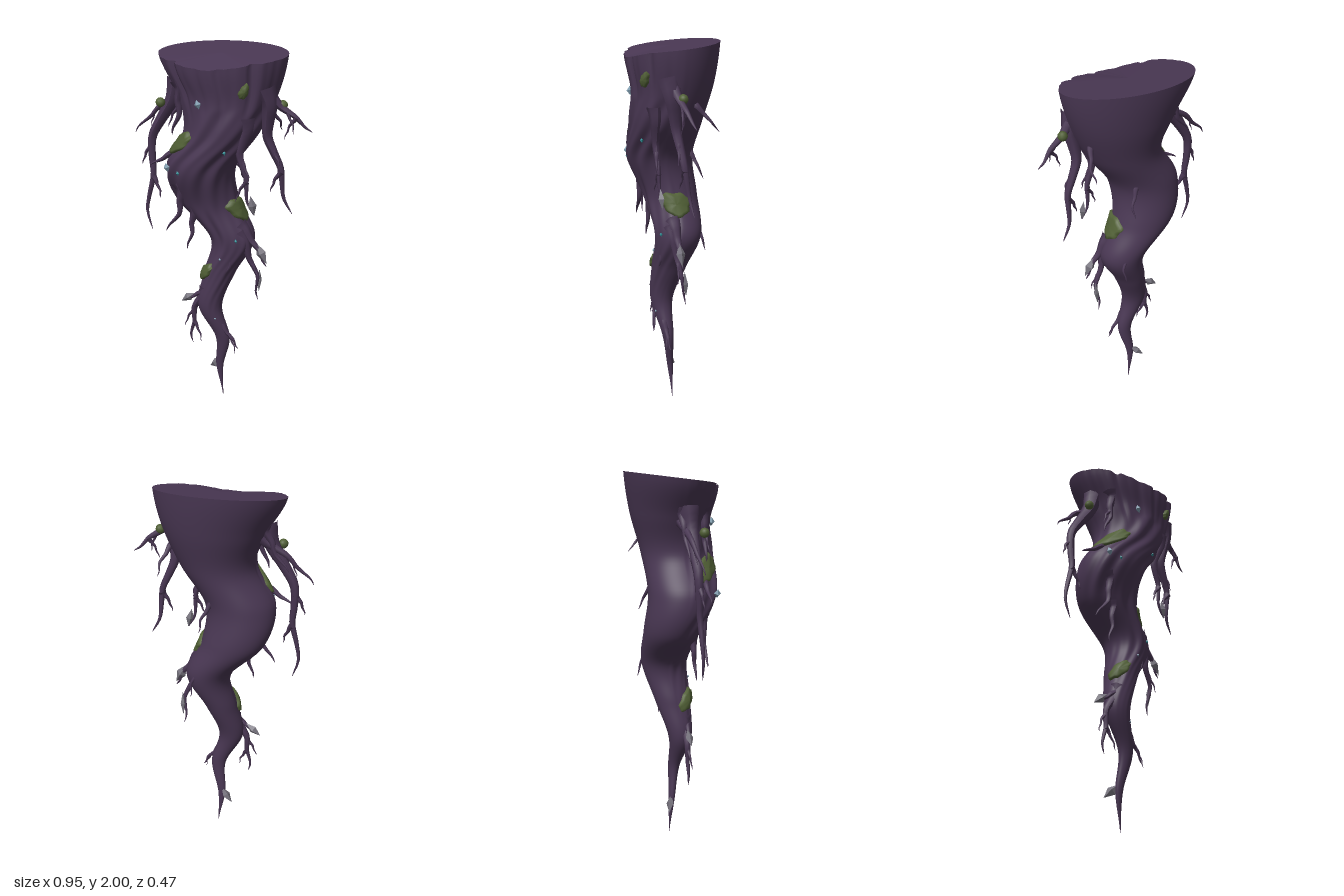
import * as THREE from 'three';

const V = (x, y, z) => new THREE.Vector3(x, y, z);

// Trunk outline every 0.2 in height: left x, right x, front z, back z
const OUTLINE = [
  [0, 0.002, -0.008, -0.012], [-0.036, 0.006, 0.016, -0.016], [-0.03, 0.052, 0.05, -0.012],
  [-0.125, 0.01, 0.1, -0.025], [-0.095, 0.075, 0.1, -0.09], [-0.07, 0.17, 0.095, -0.15],
  [-0.25, 0.085, 0.13, -0.16], [-0.285, 0.08, 0.21, -0.14], [-0.18, 0.21, 0.21, -0.155],
  [-0.235, 0.29, 0.205, -0.205], [-0.335, 0.335, 0.23, -0.236],
];

// Smoothly interpolated outline at height y
function outline(y) {
  const f = THREE.MathUtils.clamp(y * 5, 0, 10), i = Math.min(9, Math.floor(f)), t = f - i;
  const at = (k) => OUTLINE[THREE.MathUtils.clamp(k, 0, 10)];
  return [0, 1, 2, 3].map((c) => {
    const [a, b, d, e] = [at(i - 1)[c], at(i)[c], at(i + 1)[c], at(i + 2)[c]];
    return b + 0.5 * t * (d - a + t * (2 * a - 5 * b + 4 * d - e + t * (3 * (b - d) + e - a)));
  });
}

// Point on the trunk surface, with spiral ridges and a ragged rim on the front half
function surface(theta, y, lift = 0) {
  const [l, r, f, b] = outline(y);
  const c = Math.cos(theta), s = Math.sin(theta), front = Math.max(0, s);
  const top = THREE.MathUtils.smoothstep(y, 1.6, 2);
  const turned = theta + 1.9 * Math.min(y, 1.75);
  const ridge = 0.6 * Math.sin(8 * turned) + 0.4 * Math.sin(13 * turned + 1);
  const notch = (a, w) => Math.exp(-(((theta - a) / w) ** 2));
  const k = 1 + 0.055 * ridge * Math.sqrt(front) * THREE.MathUtils.smoothstep(y, 0.3, 1.2) * (1 - 0.75 * top)
    - top * (0.1 * notch(2.17, 0.06) + 0.1 * notch(0.82, 0.07) + 0.05 * notch(1.7, 0.05) + 0.05 * notch(1.35, 0.05))
    + 0.012 * top * front * Math.sin(31 * theta);
  const x = (l + r) / 2 + c * ((r - l) / 2 * k + lift);
  const z = (f + b) / 2 + s * ((f - b) / 2 * k + lift);
  return V(x, y - top * (0.028 + 0.12 * z + 0.025 * front ** 6), z);
}

// Angle on the front half of the trunk at a given x
function frontAngle(x, y) {
  const [l, r] = outline(y);
  return Math.acos(THREE.MathUtils.clamp((2 * x - l - r) / (r - l), -1, 1));
}

// Skin over closed rings of points
function loft(rings, flip) {
  const n = rings[0].length, idx = [];
  for (let i = 0; i < rings.length - 1; i++) for (let j = 0; j < n; j++) {
    const a = i * n + j, b = i * n + (j + 1) % n, c = a + n, d = b + n;
    if (flip) idx.push(a, b, c, b, d, c);
    else idx.push(a, c, b, b, c, d);
  }
  const g = new THREE.BufferGeometry().setFromPoints(rings.flat());
  g.setIndex(idx);
  g.computeVertexNormals();
  return g;
}
const ringOf = (n, fn) => Array.from({ length: n }, (_, j) => fn(j / n * Math.PI * 2));

// Tube along a curve, flared at the base and tapering to a point
function taperTube(curve, radius) {
  const steps = 24, sides = 7;
  const g = new THREE.TubeGeometry(curve, steps, radius, sides);
  const pos = g.attributes.position, v = V();
  for (let i = 0; i <= steps; i++) {
    const t = i / steps, p = curve.getPointAt(t);
    const k = 0.02 + 0.53 * (1 - t) ** 0.7 + 0.45 * (1 - t) ** 6;
    for (let j = 0; j <= sides; j++) {
      const n = i * (sides + 1) + j;
      v.fromBufferAttribute(pos, n).sub(p).multiplyScalar(k).add(p);
      pos.setXYZ(n, v.x, v.y, v.z);
    }
  }
  g.computeVertexNormals();
  return g;
}

// Path between two points that bows sideways and wavers with its length
function rootPath(start, end, bow) {
  const waver = 0.025 * start.distanceTo(end);
  return new THREE.CatmullRomCurve3(Array.from({ length: 9 }, (_, i) => {
    const t = i / 8, p = start.clone().lerp(end, t);
    p.x += bow * Math.sin(Math.PI * t) + waver * Math.sin(4 * Math.PI * t);
    return p;
  }));
}

export function createModel() {
  const group = new THREE.Group();
  const mat = (name, color) => {
    const m = new THREE.MeshStandardMaterial({ color });
    m.name = name;
    return m;
  };
  const bark = mat('purple bark', 0x493753), moss = mat('moss green', 0x505f35);
  const grey = mat('pale grey tip', 0x76737d), teal = mat('teal crystal', 0x2f8f96);
  const pale = mat('pale blue crystal', 0x7f9cae);
  const add = (name, geometry, material) => {
    const m = new THREE.Mesh(geometry, material);
    m.name = name;
    group.add(m);
    return m;
  };

  // Twisting trunk and its cut top
  const rows = Array.from({ length: 101 }, (_, i) => ringOf(120, (a) => surface(a, i / 50)));
  add('trunk', loft(rows), bark);
  const rim = rows[100], centre = V(0, 1.972, 0);
  add('cutTop', loft([0, 0.5, 0.8, 1].map((k) => rim.map((p) => centre.clone().lerp(p, k))), true), bark);

  // A root leaving the trunk, with side twigs alternating outward and inward
  function addRoot(radius, angle, y, end, bow, twigs) {
    const path = rootPath(surface(angle, y, -0.03), end, bow);
    add('root', taperTube(path, radius), bark);
    for (let i = 0; i < twigs; i++) {
      const from = path.getPointAt(0.45 + 0.2 * i);
      const side = Math.sign(end.x) * (i % 2 ? -1 : 1);
      const tip = from.clone().add(V(side * 0.05, -0.11, 0.015));
      add('twig', taperTube(rootPath(from, tip, side * 0.01), radius * 0.38), bark);
    }
  }

  // Front and side roots: radius, start x, start y, end x, y, z, bow, twigs
  [
    [0.056, -0.26, 1.86, -0.385, 1.01, 0.07, -0.075, 2],
    [0.036, -0.24, 1.79, -0.475, 1.54, 0.055, -0.03, 1],
    [0.045, -0.2, 1.88, -0.22, 1.57, 0.13, 0.02, 1],
    [0.036, -0.28, 1.86, -0.36, 1.6, 0.01, 0.02, 0],
    [0.036, -0.2, 1.5, -0.36, 1.39, 0.12, 0, 0],
    [0.04, -0.21, 1.32, -0.27, 1.04, 0.13, 0.045, 0],
    [0.034, -0.14, 1.18, -0.16, 0.94, 0.1, 0.01, 0],
    [0.058, 0.28, 1.86, 0.38, 1.18, -0.02, -0.025, 2],
    [0.042, 0.28, 1.83, 0.475, 1.62, 0, 0, 2],
    [0.046, 0.2, 1.7, 0.215, 1.19, 0.1, -0.04, 2],
    [0.045, 0.13, 1.09, 0.255, 0.87, 0, 0.015, 0],
    [0.038, 0.13, 1.06, 0.2, 0.65, -0.03, 0.03, 1],
    [0.028, 0.08, 1, 0.04, 0.79, 0.08, 0.02, 0],
    [0.042, -0.09, 0.72, -0.155, 0.35, 0.06, -0.035, 2],
    [0.03, -0.08, 0.7, -0.2, 0.61, 0.06, 0, 0],
    [0.03, 0.02, 0.5, 0.11, 0.35, 0.03, 0.01, 1],
  ].forEach(([r, x, y, ex, ey, ez, bow, twigs]) => addRoot(r, frontAngle(x, y), y, V(ex, ey, ez), bow, twigs));

  // Small back roots: angle, start y, end x, y, z
  [
    [-0.4, 1.72, 0.26, 1.57, -0.18],
    [-1.1, 1.45, 0.05, 1.29, -0.165],
    [-1.1, 1.08, 0.1, 0.91, -0.165],
  ].forEach(([angle, y, ex, ey, ez]) => addRoot(0.024, angle, y, V(ex, ey, ez), 0.02, 0));

  // Pale leaf-shaped root ends: base, end, width
  [
    [[0.195, 1.0, 0.005], [0.258, 0.885, 0.005], 0.028],
    [[0.21, 0.84, -0.02], [0.205, 0.7, -0.03], 0.016],
    [[0.2, 1.29, 0.105], [0.22, 1.185, 0.1], 0.022],
    [[-0.135, 0.665, 0.06], [-0.222, 0.6, 0.06], 0.024],
    [[-0.012, 0.235, -0.002], [-0.088, 0.162, -0.03], 0.026],
  ].forEach(([a, b, w]) => {
    const from = V(...a), to = V(...b), dir = to.clone().sub(from);
    const leaf = add('paleTip', new THREE.OctahedronGeometry(1), grey);
    leaf.position.copy(from).lerp(to, 0.5);
    leaf.scale.set(w, dir.length() / 2, w * 0.85);
    leaf.quaternion.setFromUnitVectors(V(0, 1, 0), dir.normalize());
  });

  // Ragged moss cushions lying on the trunk: angle, height, half angle, half height, slant
  [
    [frontAngle(-0.175, 1.53), 1.53, 0.48, 0.058, -0.035],
    [frontAngle(0.185, 1.86), 1.865, 0.1, 0.042, -0.015],
    [0.1, 1.175, 0.56, 0.062, 0.005],
    [frontAngle(-0.07, 0.81), 0.81, 0.6, 0.047, -0.03],
  ].forEach(([th, y, dt, dy, slant]) => {
    const rings = [0, 0.35, 0.7, 0.93, 1].map((k) => ringOf(28, (a) => {
      const q = k * (1 + 0.07 * Math.sin(3 * a + th) + 0.07 * Math.sin(7 * a));
      const lift = k === 1 ? -0.008 : 0.022 * (1 - k * k * 0.45);
      return surface(th + dt * q * Math.cos(a), y + q * (dy * Math.sin(a) + slant * Math.cos(a)), lift);
    }));
    add('mossPatch', loft(rings, true), moss);
  });
  // Moss tufts on the roots
  [[-0.3, 1.72, 0.095], [0.33, 1.745, 0.025]].forEach((p) => {
    const tuft = add('mossTuft', new THREE.IcosahedronGeometry(0.025, 1), moss);
    tuft.position.set(...p);
  });

  // Small crystals standing on the bark: x, height, size, material
  [
    [-0.04, 1.78, 0.024, pale], [-0.215, 1.41, 0.024, pale], [-0.16, 1.39, 0.012, teal],
    [0.085, 1.515, 0.013, teal], [0.19, 1.65, 0.013, teal], [0.11, 1.02, 0.011, teal],
    [0.03, 0.91, 0.009, pale], [-0.01, 0.54, 0.008, pale],
  ].forEach(([x, y, s, m]) => {
    const gem = add('crystal', new THREE.OctahedronGeometry(1), m);
    gem.position.copy(surface(frontAngle(x, y), y, s * 0.4));
    gem.scale.set(s * 0.75, s, s * 0.75);
    gem.rotation.z = 0.3;
  });
  return group;
}
